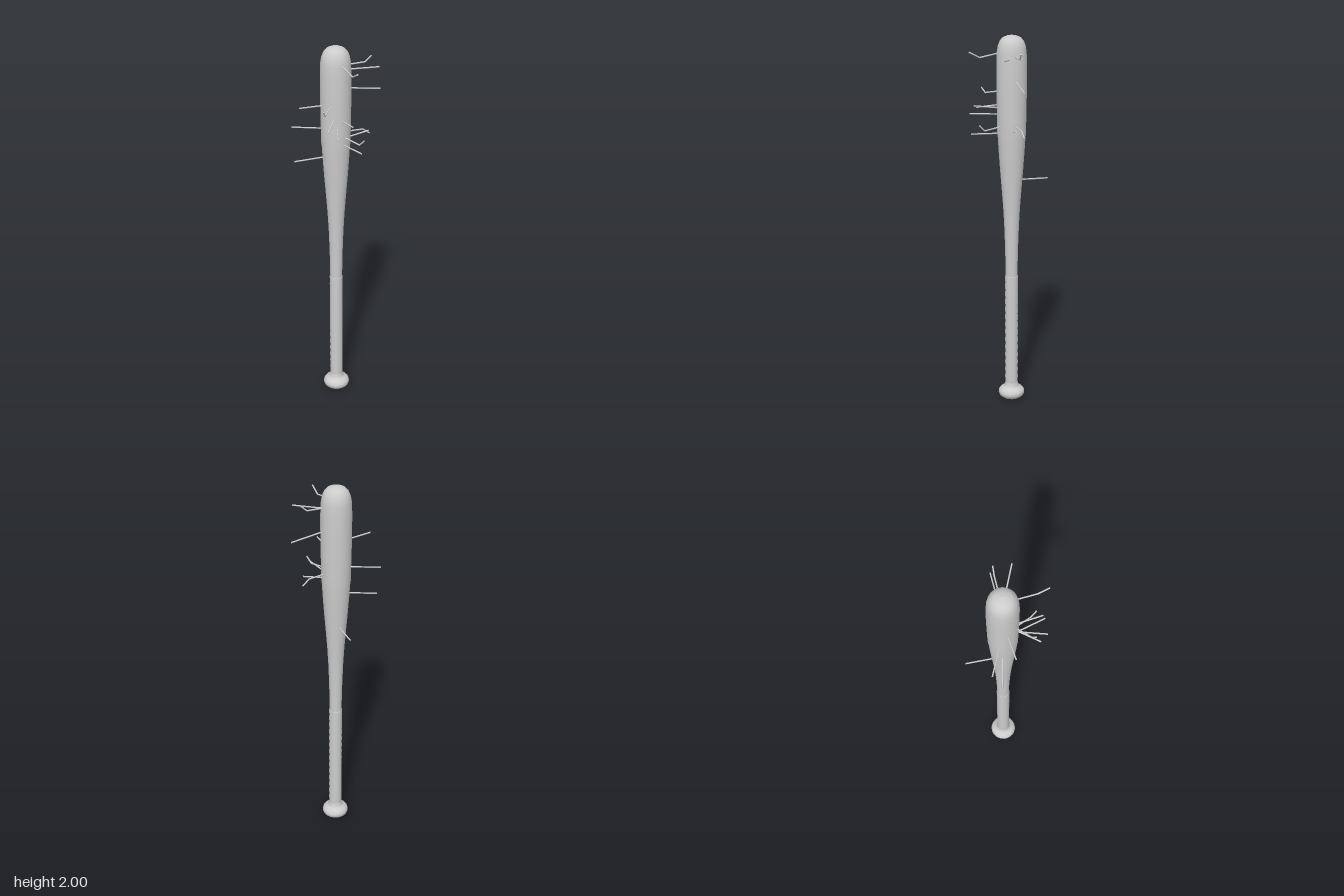
import * as THREE from 'three';

const AX = -0.019, AZ = -0.026; // axis of the bat
const V = (p) => new THREE.Vector3(...p);

export function createModel() {
  const group = new THREE.Group();
  const grey = new THREE.MeshStandardMaterial({ color: 0xcccccc });
  grey.name = 'light grey';

  const add = (name, geometry, parent = group) => {
    const mesh = new THREE.Mesh(geometry, grey);
    mesh.name = name;
    parent.add(mesh);
    return mesh;
  };

  // Turned part: a [radius, y] profile run from bottom to top
  const turned = (name, profile, sides = 24) => {
    const pts = profile.map(([r, y]) => new THREE.Vector2(r, y));
    add(name, new THREE.LatheGeometry(pts, sides)).position.set(AX, 0, AZ);
  };

  turned('knob', [
    [0, 0.005], [0.035, 0.006], [0.052, 0.012], [0.066, 0.024], [0.071, 0.037],
    [0.069, 0.05], [0.06, 0.062], [0.045, 0.071], [0.037, 0.08], [0.034, 0.1],
  ]);

  // Wrapped grip: overlapping turns of tape
  const grip = [];
  const turns = 14, y0 = 0.095, step = (0.72 - y0) / turns;
  for (let i = 0; i < turns; i++) {
    grip.push([0.0335, y0 + i * step], [0.0352, y0 + (i + 0.92) * step]);
  }
  grip.push([0.0325, 0.72]);
  turned('grip', grip);

  turned('taperedShaft', [
    [0.032, 0.71], [0.033, 0.8], [0.0355, 0.9], [0.039, 1.0], [0.0445, 1.1],
    [0.052, 1.2], [0.06, 1.3], [0.067, 1.4], [0.0715, 1.475], [0.072, 1.49],
  ]);

  turned('barrel', [
    [0.071, 1.488], [0.0738, 1.489], [0.0755, 1.58], [0.077, 1.68], [0.078, 1.78],
    [0.0775, 1.86], [0.0755, 1.915], [0.07, 1.948], [0.06, 1.972], [0.045, 1.988],
    [0.024, 1.997], [0, 2.0],
  ]);

  // Nails: centre line from the wood to the tip; some are bent
  const nails = [
    [[0.005, 1.25, -0.075], [0.058, 1.25, -0.2]],
    [[-0.06, 1.57, -0.07], [-0.172, 1.57, -0.19]],
    [[-0.07, 1.418, -0.062], [-0.193, 1.4, -0.147]],
    [[-0.085, 1.705, -0.045], [-0.208, 1.712, -0.08]],
    [[-0.08, 1.711, 0.008], [-0.153, 1.695, 0.046], [-0.172, 1.722, 0.057]],
    [[-0.07, 1.643, 0.02], [-0.172, 1.62, 0.088]],
    [[-0.06, 1.597, 0.03], [-0.152, 1.597, 0.143]],
    [[-0.037, 1.635, 0.04], [-0.078, 1.652, 0.165]],
    [[-0.032, 1.915, 0.035], [-0.058, 1.896, 0.14], [-0.075, 1.925, 0.193]],
    [[-0.027, 1.504, 0.035], [-0.052, 1.516, 0.2]],
    [[-0.017, 1.541, 0.035], [-0.013, 1.533, 0.143], [-0.012, 1.563, 0.175]],
    [[0.032, 1.885, 0.025], [0.13, 1.9, 0.127]],
    [[0.045, 1.521, 0.008], [0.133, 1.543, 0.053]],
    [[0.045, 1.545, -0.006], [0.128, 1.54, 0.016], [0.165, 1.511, 0.025]],
    [[0.045, 1.776, -0.005], [0.207, 1.75, 0.057]],
    [[0.045, 1.898, -0.004], [0.127, 1.9, 0.027], [0.158, 1.93, 0.041]],
  ];
  const R = 0.0038;
  const up = new THREE.Vector3(0, 1, 0);
  nails.forEach((points) => {
    const nail = new THREE.Group();
    nail.name = points.length > 2 ? 'bentNail' : 'nail';
    for (let i = 0; i + 1 < points.length; i++) {
      const a = V(points[i]), b = V(points[i + 1]);
      const dir = b.clone().sub(a);
      const shank = add('nailShank', new THREE.CylinderGeometry(R, R, dir.length(), 8), nail);
      shank.position.copy(a).add(b).multiplyScalar(0.5);
      shank.quaternion.setFromUnitVectors(up, dir.normalize());
      // Rounded joint at the bend
      if (i > 0) add('nailBend', new THREE.SphereGeometry(R, 8, 6), nail).position.copy(a);
    }
    group.add(nail);
  });

  return group;
}
